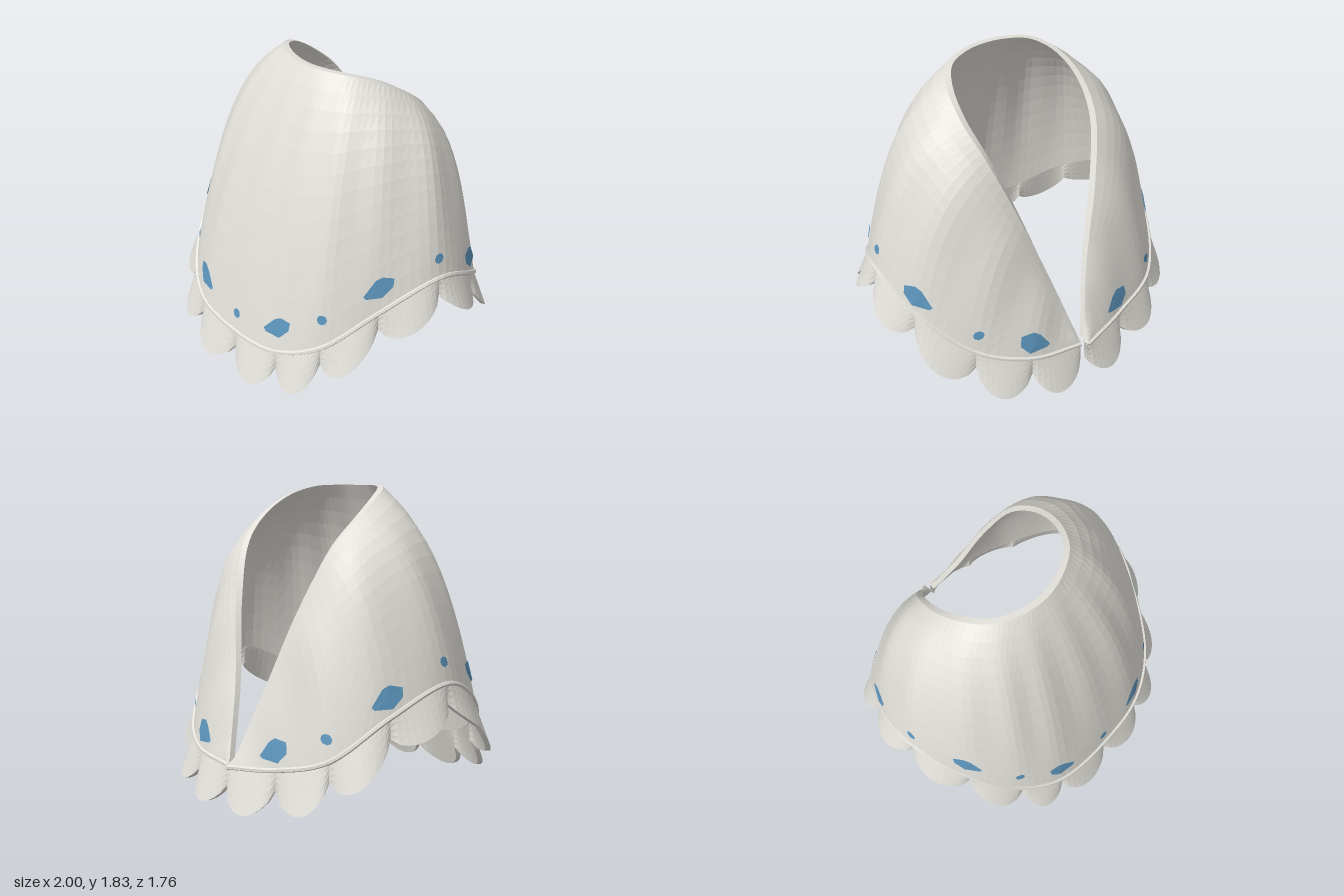
import * as THREE from 'three';

const V = (x, y, z) => new THREE.Vector3(x, y, z);

// Half of the neckline and opening edge, from centre front to centre back (mirrored)
const NECK = [[0, 1.83, 0.25], [0.16, 1.83, 0.22], [0.3, 1.82, 0.14], [0.39, 1.77, 0], [0.425, 1.66, -0.18],
  [0.39, 1.49, -0.36], [0.28, 1.15, -0.51], [0.14, 0.72, -0.63], [0.015, 0.27, -0.78]];
// Hem line on each side, from centre front to centre back
const HEM_LEFT = [[0, 0.24, 0.81], [0.34, 0.27, 0.775], [0.58, 0.37, 0.64], [0.77, 0.59, 0.37], [0.91, 0.75, 0.03],
  [0.86, 0.6, -0.3], [0.63, 0.37, -0.58], [0.34, 0.28, -0.74], [0.015, 0.25, -0.79]];
const HEM_RIGHT = [[0, 0.24, 0.81], [-0.37, 0.27, 0.775], [-0.61, 0.38, 0.64], [-0.81, 0.6, 0.38], [-0.92, 0.75, 0.02],
  [-0.85, 0.6, -0.36], [-0.66, 0.37, -0.63], [-0.34, 0.28, -0.735], [-0.015, 0.25, -0.82]];

// Join two halves into one curve running back, right, front, left, back
function around(right, left) {
  const pts = [...right.slice(1).reverse(), ...left].map((p) => V(...p));
  return new THREE.CatmullRomCurve3(pts);
}
const neck = around(NECK.map(([x, y, z]) => [-x, y, z]), NECK);
const hem = around(HEM_RIGHT, HEM_LEFT);

// Horizontal direction away from the middle of the cape
const outward = (p) => V(p.x, 0, p.z + 0.1).normalize();
// 0 at centre front and back, 1 at the sides
const sideness = (u) => Math.sin(Math.PI * 2 * u) ** 2;

// Outer cloth: u runs round the body, v from neck to hem, bowed over rounded shoulders
function cloth(u, v) {
  const a = neck.getPoint(u), b = hem.getPoint(u), side = sideness(u);
  const fxz = 0.6 + 0.12 * side, fy = 0.33 - 0.11 * side;
  const c = V(a.x + (b.x - a.x) * fxz, a.y + (b.y - a.y) * fy, a.z + (b.z - a.z) * fxz);
  const p = new THREE.QuadraticBezierCurve3(a, c, b).getPoint(v);
  const fold = 0.007 * Math.sin(Math.PI * v) * Math.cos(Math.PI * 32 * u);
  const shoulder = 0.36 * side * v * (1 - v) ** 3;
  return p.addScaledVector(outward(p), fold + shoulder);
}

// Scalloped frill: sixteen lobes hanging below the hem and flaring out
function frill(u, v) {
  const p = hem.getPoint(u);
  const lobe = Math.abs(Math.sin(Math.PI * 16 * u)) ** 0.72;
  p.addScaledVector(outward(p), v * (0.005 + 0.085 * lobe));
  p.y -= v * (0.115 + (0.13 - 0.035 * sideness(u) ** 2) * lobe);
  return p;
}

function build(pos, idx) {
  const g = new THREE.BufferGeometry();
  g.setAttribute('position', new THREE.Float32BufferAttribute(pos, 3));
  g.setIndex(idx);
  g.computeVertexNormals();
  return g;
}

// Closed shell: outer face, then back up the inner face
function shell(fn, nu, nv, thick) {
  const pos = [], idx = [], ring = 2 * (nv + 1);
  for (let i = 0; i <= nu; i++) {
    for (let j = 0; j < ring; j++) {
      const inner = j > nv;
      const p = fn(i / nu, (inner ? ring - 1 - j : j) / nv);
      if (inner) p.addScaledVector(outward(p), -thick);
      pos.push(p.x, p.y, p.z);
    }
  }
  for (let i = 0; i < nu; i++) {
    for (let j = 0; j < ring; j++) {
      const k = (j + 1) % ring;
      const a = i * ring + j, b = i * ring + k, c = a + ring, d = b + ring;
      idx.push(a, b, c, b, d, c);
    }
  }
  return build(pos, idx);
}

// Flat motif laid upright on the cloth, its centre a given height above the hem;
// the outline is [sideways, up] in model units
function motif(u, lift, outline) {
  const e = 0.004;
  const along = (uu, vv) => cloth(uu + e, vv).sub(cloth(uu - e, vv)).divideScalar(2 * e);
  const down = (uu, vv) => cloth(uu, vv + e).sub(cloth(uu, vv - e)).divideScalar(2 * e);
  const v = 1 + lift / down(u, 0.95).y;
  const du = along(u, v), dv = down(u, v);
  const pos = [], idx = [], n = outline.length;
  for (const [s, w] of [[0, 0], ...outline]) {
    const uStep = s / Math.hypot(du.x, du.z);
    const uu = u + uStep, vv = v + (w - du.y * uStep) / dv.y;
    const p = cloth(uu, vv);
    const normal = down(uu, vv).cross(along(uu, vv)).normalize();
    if (normal.dot(outward(p)) < 0) normal.negate();
    p.addScaledVector(normal, 0.008);
    pos.push(p.x, p.y, p.z);
  }
  for (let i = 0; i < n; i++) idx.push(0, 1 + i, 1 + ((i + 1) % n));
  return build(pos, idx);
}

export function createModel() {
  const group = new THREE.Group();
  const fabric = new THREE.MeshStandardMaterial({ color: 0xe1dfd8, flatShading: true, side: THREE.DoubleSide });
  fabric.name = 'pale cloth';
  const blue = new THREE.MeshStandardMaterial({ color: 0x5c95bc, flatShading: true, side: THREE.DoubleSide });
  blue.name = 'blue motif';
  const add = (name, geometry, material) => {
    const mesh = new THREE.Mesh(geometry, material);
    mesh.name = name;
    group.add(mesh);
  };

  add('capeBody', shell(cloth, 96, 12, 0.035), fabric);
  add('scallopedFrill', shell(frill, 160, 4, 0.031), fabric);

  // Piping along the hem
  add('hemPiping', new THREE.TubeGeometry(hem, 110, 0.015, 6), fabric);

  // Alternating dots and slanted lozenges above the hem
  const dot = Array.from({ length: 8 }, (_, i) => {
    const a = (i / 8) * Math.PI * 2;
    return [0.03 * Math.cos(a), 0.03 * Math.sin(a)];
  });
  const lozenge = [[-0.09, -0.045], [-0.02, 0.045], [0.02, 0.065], [0.085, 0.05], [0.08, 0], [0.02, -0.06], [-0.075, -0.062]];
  for (let k = 1; k < 16; k++) {
    const u = k / 16;
    const front = k > 4 && k < 12;
    if (k % 2 === 0) add('dot', motif(u, front && k !== 8 ? 0.18 : 0.12, dot), blue);
    else {
      // Each lozenge rises with the hem towards the side
      const dir = k % 8 < 4 ? 1 : -1;
      add('lozenge', motif(u, front ? 0.16 : 0.11, lozenge.map(([s, w]) => [s * dir, w])), blue);
    }
  }
  return group;
}
